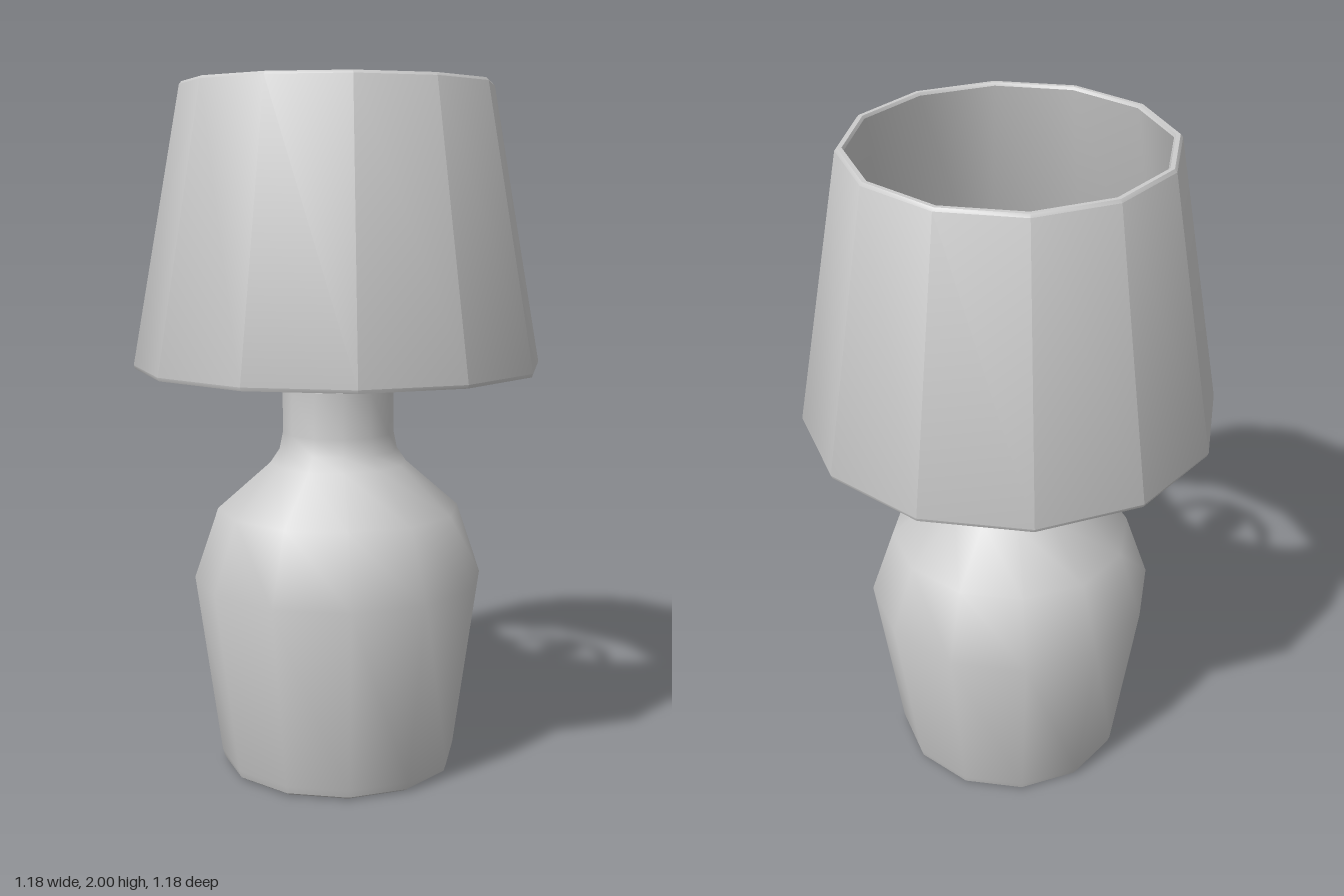
import * as THREE from 'three';
import { toCreasedNormals } from 'three/addons/utils/BufferGeometryUtils.js';

export function createModel() {
  const lamp = new THREE.Group();
  lamp.name = 'tableLamp';
  const material = new THREE.MeshStandardMaterial({ color: 0xcccccc });

  function add(name, geometry, crease = 0.7) {
    const mesh = new THREE.Mesh(toCreasedNormals(geometry, crease), material);
    mesh.name = name;
    lamp.add(mesh);
    return mesh;
  }

  // Twelve-sided turned part; profile runs up the outside as [radius, height]
  function turned(name, profile, sides = 12) {
    const points = profile.map(([r, y]) => new THREE.Vector2(r, y));
    return add(name, new THREE.LatheGeometry(points, sides));
  }

  // Jar-shaped base with sloped shoulder and straight neck
  turned('base', [
    [0, 0], [0.33, 0], [0.343, 0.008], [0.35, 0.03],
    [0.425, 0.568], [0.355, 0.775], [0.2, 0.91], [0.173, 0.95], [0.163, 1.0],
    [0.163, 1.132], [0, 1.132],
  ]);

  // Socket cap on the neck and the rod rising from it
  turned('cap', [[0, 1.13], [0.082, 1.13], [0.082, 1.165], [0, 1.165]]);
  const rod = add('rod', new THREE.CylinderGeometry(0.025, 0.025, 0.44, 8), 0.9);
  rod.position.y = 1.38;

  // Ball on top of the rod
  const ball = add('ball', new THREE.SphereGeometry(0.077, 8, 6), 0.9);
  ball.position.y = 1.6;

  // Support ring and crossbar that carry the shade
  turned('supportRing', [
    [0.2, 1.465], [0.222, 1.465], [0.222, 1.5], [0.2, 1.5], [0.2, 1.465],
  ]);
  const crossbar = add('crossbar', new THREE.CylinderGeometry(0.018, 0.018, 1.05, 8), 0.9);
  crossbar.rotation.z = Math.PI / 2;
  crossbar.position.y = 1.478;

  // Hollow tapered shade with slightly bevelled rims
  turned('shade', [
    [0.573, 1.19], [0.588, 1.19], [0.592, 1.2],
    [0.449, 1.992], [0.442, 2], [0.43, 2], [0.425, 1.992],
    [0.567, 1.2], [0.573, 1.19],
  ]);

  return lamp;
}
